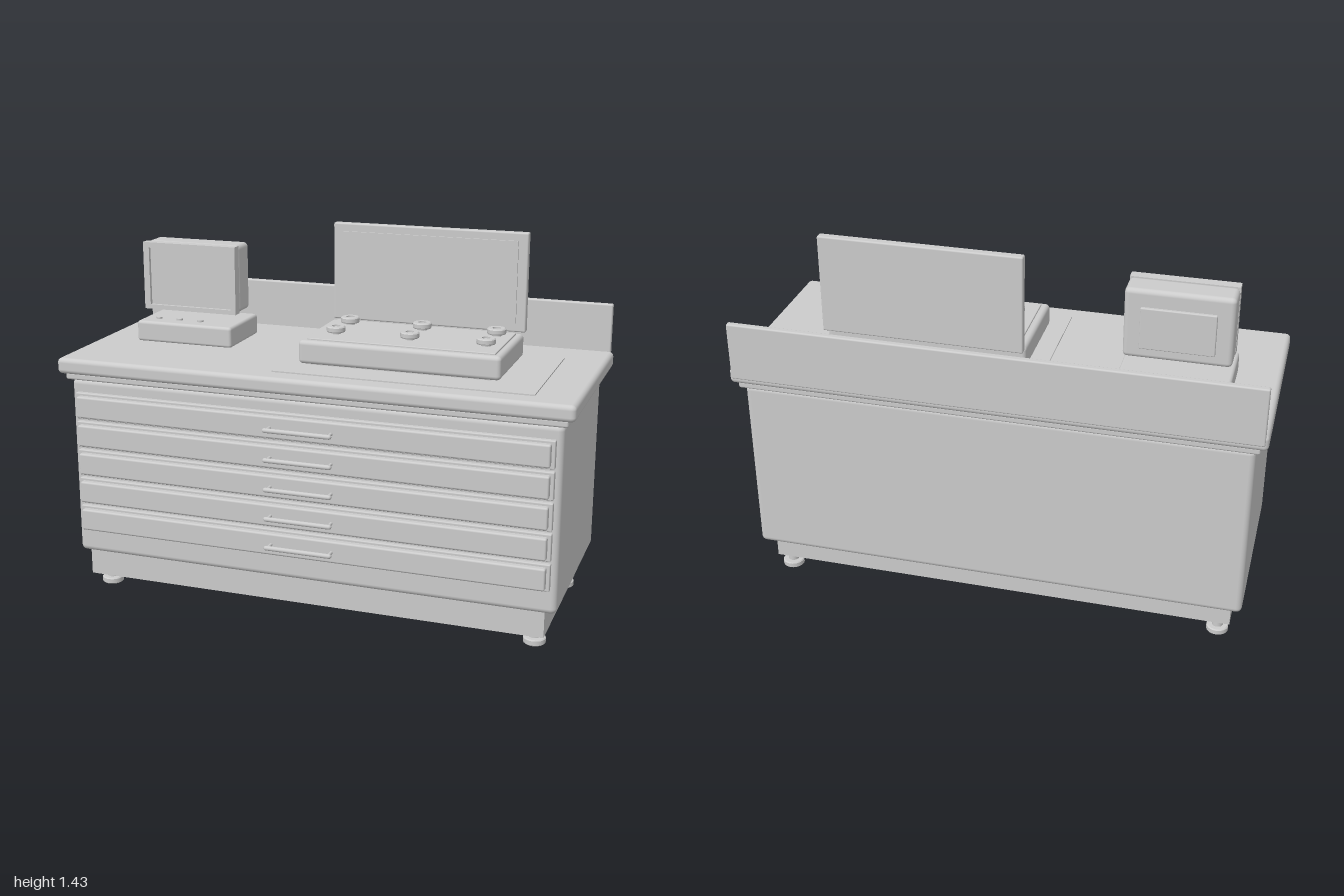
import * as THREE from 'three';
import { RoundedBoxGeometry } from 'three/addons/geometries/RoundedBoxGeometry.js';

export function createModel() {
  const root = new THREE.Group();
  root.name = 'workbench';
  const grey = new THREE.MeshStandardMaterial({ color: 0xcccccc });
  grey.name = 'light grey';

  const add = (name, geometry, parent = root) => {
    const mesh = new THREE.Mesh(geometry, grey);
    mesh.name = name;
    parent.add(mesh);
    return mesh;
  };
  // Box given by its limits on each axis, with optional rounded edges
  const box = (name, [x0, x1], [y0, y1], [z0, z1], r = 0, parent = root) => {
    const size = [x1 - x0, y1 - y0, z1 - z0];
    const g = r ? new RoundedBoxGeometry(...size, 3, r) : new THREE.BoxGeometry(...size);
    g.translate((x0 + x1) / 2, (y0 + y1) / 2, (z0 + z1) / 2);
    return add(name, g, parent);
  };
  // Turned part from [radius, height] points
  const turned = (name, points, x, y, z, parent = root) => {
    // split each profile corner so edges stay sharp
    const group = new THREE.Group();
    group.name = name;
    group.position.set(x, y, z);
    for (let i = 0; i < points.length - 1; i++) {
      const pair = [points[i], points[i + 1]].map(p => new THREE.Vector2(...p));
      add(name + 'Surface', new THREE.LatheGeometry(pair, 24), group);
    }
    parent.add(group);
  };

  // Cabinet
  box('plinth', [-0.915, 0.915], [0.06, 0.17], [-0.341, 0.341]);
  box('cabinetBody', [-0.958, 0.958], [0.157, 0.868], [-0.397, 0.351], 0.022);
  box('topLip', [-0.973, 0.973], [0.866, 0.894], [-0.417, 0.368], 0.008);
  box('countertop', [-1, 1], [0.89, 0.952], [-0.432, 0.386], 0.018);
  box('backsplash', [-0.988, 0.988], [0.915, 1.14], [-0.44, -0.414], 0.006);

  // Levelling feet
  for (const x of [-0.867, 0.867]) for (const z of [-0.301, 0.26]) {
    turned('foot', [[0, 0], [0.036, 0], [0.042, 0.005], [0.042, 0.022], [0.038, 0.026],
      [0.021, 0.026], [0.021, 0.062]], x, 0, z);
  }

  // Drawers with bar handles
  for (let i = 0; i < 5; i++) {
    const y = 0.765 - i * 0.115;
    const drawer = new THREE.Group();
    drawer.name = 'drawer';
    root.add(drawer);
    box('drawerFrame', [-0.933, 0.933], [y - 0.052, y + 0.052], [0.34, 0.37], 0.004, drawer);
    box('drawerFront', [-0.92, 0.92], [y - 0.042, y + 0.042], [0.36, 0.393], 0.007, drawer);
    const bar = new THREE.CapsuleGeometry(0.009, 0.25, 4, 12);
    bar.rotateZ(Math.PI / 2).translate(0, y, 0.431);
    add('handleBar', bar, drawer);
    for (const x of [-0.12, 0.12]) {
      const post = new THREE.CylinderGeometry(0.006, 0.006, 0.045, 10);
      post.rotateX(Math.PI / 2).translate(x, y, 0.41);
      add('handlePost', post, drawer);
    }
  }

  // Small monitor on its base
  const monitor = new THREE.Group();
  monitor.name = 'smallMonitor';
  root.add(monitor);
  box('monitorBase', [-0.838, -0.43], [0.95, 1.033], [-0.258, 0.021], 0.012, monitor);
  for (const x of [-0.77, -0.68, -0.59]) {
    turned('button', [[0.013, 0], [0.013, 0.008], [0, 0.008]], x, 1.032, -0.045, monitor);
  }
  box('monitorCase', [-0.832, -0.436], [1.07, 1.34], [-0.193, -0.083], 0.018, monitor);
  box('monitorBackPanel', [-0.77, -0.497], [1.115, 1.275], [-0.205, -0.185], 0.004, monitor);
  const bezel = new THREE.Shape();
  bezel.moveTo(-0.832, 1.07).lineTo(-0.436, 1.07).lineTo(-0.436, 1.34).lineTo(-0.832, 1.34);
  const opening = new THREE.Path();
  opening.moveTo(-0.807, 1.088).lineTo(-0.807, 1.318).lineTo(-0.458, 1.318).lineTo(-0.458, 1.088);
  bezel.holes.push(opening);
  add('monitorBezel', new THREE.ExtrudeGeometry(bezel, { depth: 0.04, bevelEnabled: false })
    .translate(0, 0, -0.086), monitor);
  box('monitorScreen', [-0.815, -0.45], [1.08, 1.325], [-0.09, -0.06], 0, monitor);

  // Control desk on a thin mat
  const desk = new THREE.Group();
  desk.name = 'controlDesk';
  root.add(desk);
  box('mat', [-0.145, 0.84], [0.949, 0.957], [-0.243, 0.303], 0, desk);
  box('deskFootPlate', [-0.04, 0.653], [0.955, 0.972], [-0.155, 0.17], 0, desk);
  box('deskBody', [-0.079, 0.693], [0.965, 1.054], [-0.187, 0.203], 0.016, desk);
  box('deskTopPlate', [-0.05, 0.667], [1.045, 1.06], [-0.162, 0.177], 0.003, desk);
  for (const x of [0.027, 0.317, 0.607]) for (const z of [-0.093, 0.073]) {
    turned('knob', [[0.018, 0], [0.018, 0.01], [0.034, 0.01], [0.036, 0.014], [0.036, 0.028],
      [0.032, 0.032], [0.016, 0.032], [0.016, 0.026], [0, 0.026]], x, 1.058, z, desk);
  }

  // Wide display standing behind the desk
  box('displayPanel', [-0.079, 0.693], [1.053, 1.434], [-0.235, -0.201], 0.006);
  box('displayScreen', [-0.045, 0.656], [1.087, 1.403], [-0.21, -0.194]);

  return root;
}
